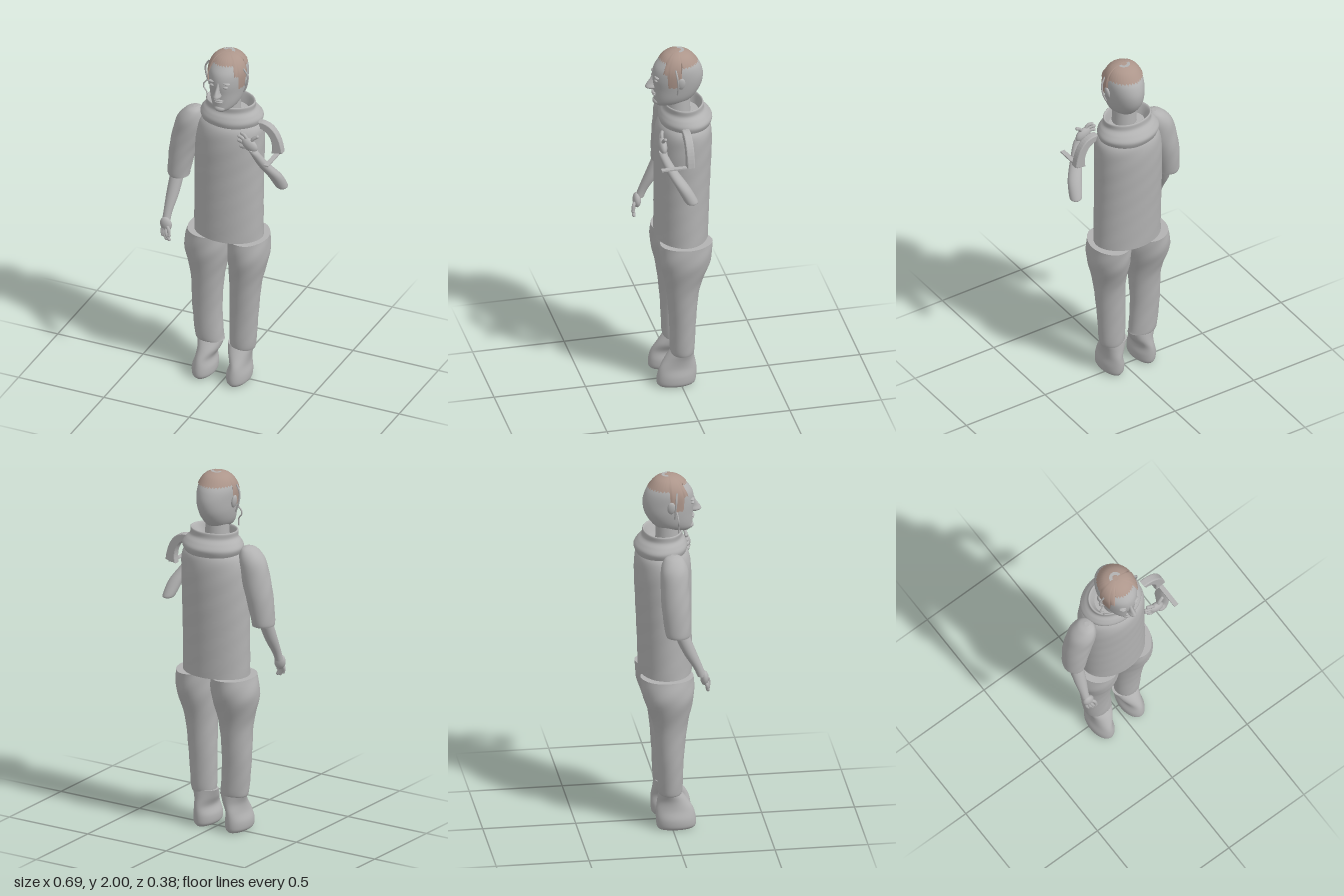
import * as THREE from 'three';

const grey = new THREE.MeshStandardMaterial({ color: 0xb2b2b2, side: THREE.DoubleSide });
grey.name = 'clay grey';
const brown = new THREE.MeshStandardMaterial({ color: 0xad968b, side: THREE.DoubleSide });
brown.name = 'hair brown';

function add(parent, name, geometry, material = grey) {
  const mesh = new THREE.Mesh(geometry, material);
  mesh.name = name;
  parent.add(mesh);
  return mesh;
}

// Smooth interpolation through rows of numbers, t in 0..1
function sampleRows(rows, t) {
  const f = t * (rows.length - 1), i = Math.min(Math.floor(f), rows.length - 2), u = f - i;
  const row = (k) => rows[Math.max(0, Math.min(rows.length - 1, k))];
  return rows[i].map((_, c) => {
    const [a, b, d, e] = [row(i - 1)[c], row(i)[c], row(i + 1)[c], row(i + 2)[c]];
    return b + 0.5 * u * (d - a + u * (2 * a - 5 * b + 4 * d - e + u * (3 * (b - d) + e - a)));
  });
}

// Grid surface from rings of points; optional flat end caps
function skin(rings, capBottom, capTop) {
  const pos = [], idx = [], n = rings[0].length;
  rings.forEach((r) => r.forEach((p) => pos.push(...p)));
  for (let j = 0; j < rings.length - 1; j++) {
    for (let i = 0; i < n; i++) {
      const a = j * n + i, b = j * n + (i + 1) % n;
      idx.push(a, a + n, b, b, a + n, b + n);
    }
  }
  const cap = (ring, up) => {
    const s = pos.length / 3;
    ring.forEach((p) => pos.push(...p));
    pos.push(...[0, 1, 2].map((c) => ring.reduce((sum, p) => sum + p[c], 0) / n));
    for (let i = 0; i < n; i++) {
      const k = (i + 1) % n;
      idx.push(s + n, s + (up ? k : i), s + (up ? i : k));
    }
  };
  if (capBottom) cap(rings[0], false);
  if (capTop) cap(rings[rings.length - 1], true);
  const g = new THREE.BufferGeometry();
  g.setAttribute('position', new THREE.Float32BufferAttribute(pos, 3));
  g.setIndex(idx);
  g.computeVertexNormals();
  return g;
}

// Horizontal ellipses [x, y, z, rx, rz] lofted upward, with optional soft folds
function loft(rows, { fold = 0, bottom = true, top = true, n = 40 } = {}) {
  const steps = (rows.length - 1) * 6, rings = [];
  for (let j = 0; j <= steps; j++) {
    const [x, y, z, rx, rz] = sampleRows(rows, j / steps);
    rings.push(Array.from({ length: n }, (_, i) => {
      const a = (i / n) * Math.PI * 2;
      const k = 1 + fold * Math.sin(3 * a + 23 * y) * Math.sin(31 * y + 2 * a);
      return [x + Math.cos(a) * rx * k, y, z + Math.sin(a) * rz * k];
    }));
  }
  return skin(rings, bottom, top);
}

function ball(parent, name, [x, y, z], [sx, sy, sz], tilt = 0) {
  const m = add(parent, name, new THREE.SphereGeometry(1, 20, 14));
  m.position.set(x, y, z);
  m.scale.set(sx, sy, sz);
  m.rotation.z = tilt;
  return m;
}

function tube(parent, name, points, radius) {
  const curve = new THREE.CatmullRomCurve3(points.map((p) => new THREE.Vector3(...p)));
  return add(parent, name, new THREE.TubeGeometry(curve, 16, radius, 8));
}

const headRows = [
  [0, 1.68, 0.075, 0.025, 0.035], [0, 1.70, 0.035, 0.058, 0.09], [0, 1.735, 0.015, 0.079, 0.112],
  [0, 1.79, 0, 0.092, 0.13], [0.002, 1.85, -0.002, 0.099, 0.138], [0.002, 1.905, 0, 0.1, 0.127],
  [0.002, 1.945, 0, 0.088, 0.1], [0.002, 1.975, 0, 0.064, 0.07], [0.002, 1.99, 0, 0.032, 0.034], [0.002, 1.994, 0, 0.003, 0.003],
];

// Head cross-section at a given height
function headAt(y) {
  let lo = 0, hi = 1;
  for (let k = 0; k < 24; k++) {
    const mid = (lo + hi) / 2;
    if (sampleRows(headRows, mid)[1] < y) lo = mid; else hi = mid;
  }
  return sampleRows(headRows, lo);
}

// Cropped hair: high at the brow and nape, with sideburns
function hairGeometry() {
  const n = 96, rings = [];
  for (let j = 0; j <= 16; j++) {
    rings.push(Array.from({ length: n }, (_, i) => {
      const a = (i / n) * Math.PI * 2, s = Math.sin(a);
      const line = (s > 0.72 ? 1.955 : s > 0.52 ? 1.9 : s > -0.03 ? 1.82 : 1.935) + 0.006 * Math.sin(i * 2.4);
      const y = line + (1.9935 - line) * Math.sin((j / 16) * Math.PI / 2);
      const [x, , z, rx, rz] = headAt(y);
      return [x + Math.cos(a) * (rx + 0.007), y + 0.006 * j / 16, z + s * (rz + 0.004)];
    }));
  }
  return skin(rings, false, true);
}

function buildHead() {
  const head = new THREE.Group();
  head.name = 'head';
  add(head, 'neck', new THREE.CylinderGeometry(0.062, 0.07, 0.18, 32)).position.set(0, 1.65, -0.005);
  add(head, 'skull', loft(headRows, { n: 48 }));
  add(head, 'hair', hairGeometry(), brown);
  // Face
  add(head, 'nose', loft([
    [0, 1.782, 0.135, 0.012, 0.018], [0, 1.793, 0.142, 0.021, 0.033], [0, 1.815, 0.142, 0.013, 0.025],
    [0, 1.845, 0.132, 0.009, 0.014], [0, 1.87, 0.125, 0.009, 0.01],
  ], { n: 16 }));
  ball(head, 'chin', [0, 1.705, 0.108], [0.032, 0.02, 0.026]);
  ball(head, 'upperLip', [0, 1.76, 0.126], [0.028, 0.007, 0.013]);
  ball(head, 'lowerLip', [0, 1.748, 0.124], [0.024, 0.008, 0.013]);
  for (const s of [-1, 1]) {
    ball(head, 'eye', [s * 0.036, 1.845, 0.122], [0.017, 0.008, 0.011]);
    ball(head, 'brow', [s * 0.038, 1.868, 0.118], [0.025, 0.006, 0.014], -s * 0.1);
    ball(head, 'ear', [s * 0.104, 1.845, 0.0], [0.012, 0.036, 0.022], -s * 0.15);
    tube(head, 'looseStrand', [[s * 0.1, 1.93, 0.03], [s * 0.122, 1.89, 0.025], [s * 0.118, 1.83, 0.02], [s * 0.1, 1.78, 0.02]], 0.005);
  }
  tube(head, 'curl', [[-0.1, 1.82, 0.03], [-0.128, 1.785, 0.035], [-0.128, 1.765, 0.035], [-0.108, 1.74, 0.04], [-0.108, 1.7, 0.04]], 0.004);
  // Small bare arch on the crown
  const arch = add(head, 'crownPatch', new THREE.RingGeometry(0.016, 0.033, 20, 1, 0, Math.PI));
  arch.rotation.x = -Math.PI / 2;
  arch.position.set(0.002, 2.0, -0.005);
  return head;
}

// Fingers fanned out from a palm
function hand(name, palm, size, tilt, tips) {
  const g = new THREE.Group();
  g.name = name;
  ball(g, 'palm', palm, size, tilt);
  tips.forEach(([mid, tip]) => {
    tube(g, 'finger', [palm, mid, tip], 0.0095);
    ball(g, 'fingertip', tip, [0.0095, 0.0095, 0.0095]);
  });
  return g;
}

export function createModel() {
  const model = new THREE.Group();
  model.name = 'figure';
  model.add(buildHead());

  // Tunic and rolled collar
  add(model, 'tunic', loft([
    [-0.007, 0.88, -0.022, 0.193, 0.143], [-0.007, 1.1, -0.026, 0.192, 0.146], [-0.007, 1.3, -0.03, 0.192, 0.15],
    [-0.005, 1.46, -0.033, 0.191, 0.152], [0, 1.55, -0.036, 0.178, 0.142], [0, 1.6, -0.04, 0.13, 0.11],
  ], { fold: 0.008, n: 64 }));
  add(model, 'collar', loft([
    [0, 1.545, -0.042, 0.148, 0.122], [0, 1.565, -0.043, 0.162, 0.133], [0, 1.6, -0.044, 0.174, 0.143],
    [0, 1.63, -0.04, 0.158, 0.128], [0, 1.655, -0.036, 0.137, 0.108], [0, 1.685, -0.034, 0.137, 0.106],
    [0, 1.683, -0.034, 0.125, 0.096], [0, 1.63, -0.03, 0.1, 0.085],
  ], { fold: 0.012, bottom: false, n: 64 }));

  // Trousers
  add(model, 'rightTrouser', loft([
    [-0.108, 0.2, -0.01, 0.078, 0.06], [-0.115, 0.23, -0.01, 0.08, 0.066], [-0.127, 0.4, -0.01, 0.083, 0.072],
    [-0.124, 0.6, -0.008, 0.093, 0.092], [-0.128, 0.77, -0.02, 0.127, 0.136], [-0.118, 0.88, -0.026, 0.117, 0.142],
  ], { fold: 0.018 }));
  add(model, 'leftTrouser', loft([
    [0.08, 0.19, -0.01, 0.066, 0.06], [0.082, 0.23, -0.01, 0.073, 0.066], [0.088, 0.4, -0.01, 0.079, 0.072],
    [0.098, 0.6, -0.008, 0.088, 0.092], [0.11, 0.77, -0.02, 0.11, 0.136], [0.108, 0.88, -0.026, 0.108, 0.142],
  ], { fold: 0.018 }));

  // Boots
  for (const s of [-1, 1]) {
    const c = s < 0 ? -0.125 : 0.076, top = s < 0 ? -0.108 : 0.072;
    add(model, s < 0 ? 'rightBoot' : 'leftBoot', loft([
      [c, 0, 0.022, 0.044, 0.092], [c, 0.018, 0.023, 0.06, 0.105], [c, 0.06, 0.02, 0.062, 0.107],
      [c + 0.003, 0.11, 0.014, 0.05, 0.1], [top, 0.16, 0.003, 0.062, 0.08], [top, 0.205, -0.012, 0.075, 0.058],
    ]));
  }

  // Right arm hanging down
  add(model, 'rightSleeve', loft([
    [-0.283, 1.18, 0.01, 0.058, 0.062], [-0.283, 1.21, 0.008, 0.062, 0.068], [-0.265, 1.34, 0.002, 0.073, 0.076],
    [-0.24, 1.45, 0, 0.08, 0.076], [-0.22, 1.54, 0, 0.073, 0.073], [-0.2, 1.595, 0, 0.045, 0.05], [-0.192, 1.612, 0, 0.012, 0.015],
  ], { fold: 0.02 }));
  add(model, 'rightForearm', loft([
    [-0.302, 0.95, 0.135, 0.022, 0.024], [-0.3, 1.0, 0.115, 0.024, 0.026], [-0.293, 1.09, 0.07, 0.034, 0.036], [-0.285, 1.21, 0.02, 0.038, 0.04],
  ]));
  model.add(hand('rightHand', [-0.297, 0.935, 0.15], [0.033, 0.042, 0.022], 0.2, [
    [[-0.315, 0.9, 0.16], [-0.308, 0.875, 0.165]], [[-0.3, 0.89, 0.168], [-0.285, 0.86, 0.17]],
    [[-0.285, 0.89, 0.172], [-0.268, 0.858, 0.173]], [[-0.272, 0.92, 0.172], [-0.266, 0.885, 0.178]],
  ]));

  // Left arm bent up to the chest
  add(model, 'leftForearm', loft([
    [0.313, 1.23, -0.008, 0.025, 0.028], [0.308, 1.245, -0.004, 0.034, 0.036], [0.288, 1.32, 0.035, 0.039, 0.036],
    [0.248, 1.4, 0.085, 0.033, 0.03], [0.215, 1.475, 0.12, 0.026, 0.024], [0.2, 1.5, 0.123, 0.024, 0.022],
  ]));
  model.add(hand('leftHand', [0.18, 1.525, 0.12], [0.05, 0.034, 0.023], -0.6, [
    [[0.15, 1.575, 0.118], [0.13, 1.58, 0.112]], [[0.14, 1.555, 0.12], [0.115, 1.56, 0.113]],
    [[0.14, 1.535, 0.123], [0.115, 1.535, 0.115]], [[0.15, 1.51, 0.127], [0.13, 1.505, 0.12]],
    [[0.2, 1.565, 0.12], [0.222, 1.582, 0.115]],
  ]));

  // Loose sleeve trim: curved band and thin strap
  const band = new THREE.Shape();
  band.moveTo(0.185, 1.605);
  band.bezierCurveTo(0.25, 1.61, 0.3, 1.56, 0.315, 1.45);
  band.lineTo(0.262, 1.437);
  band.bezierCurveTo(0.275, 1.5, 0.25, 1.56, 0.195, 1.575);
  band.closePath();
  add(model, 'sleeveBand', new THREE.ExtrudeGeometry(band, {
    depth: 0.026, bevelEnabled: true, bevelSize: 0.005, bevelThickness: 0.008, bevelSegments: 3, curveSegments: 14,
  })).position.z = -0.018;
  add(model, 'strap', new THREE.BoxGeometry(0.026, 0.008, 0.17)).position.set(0.29, 1.438, 0.068);
  return model;
}
